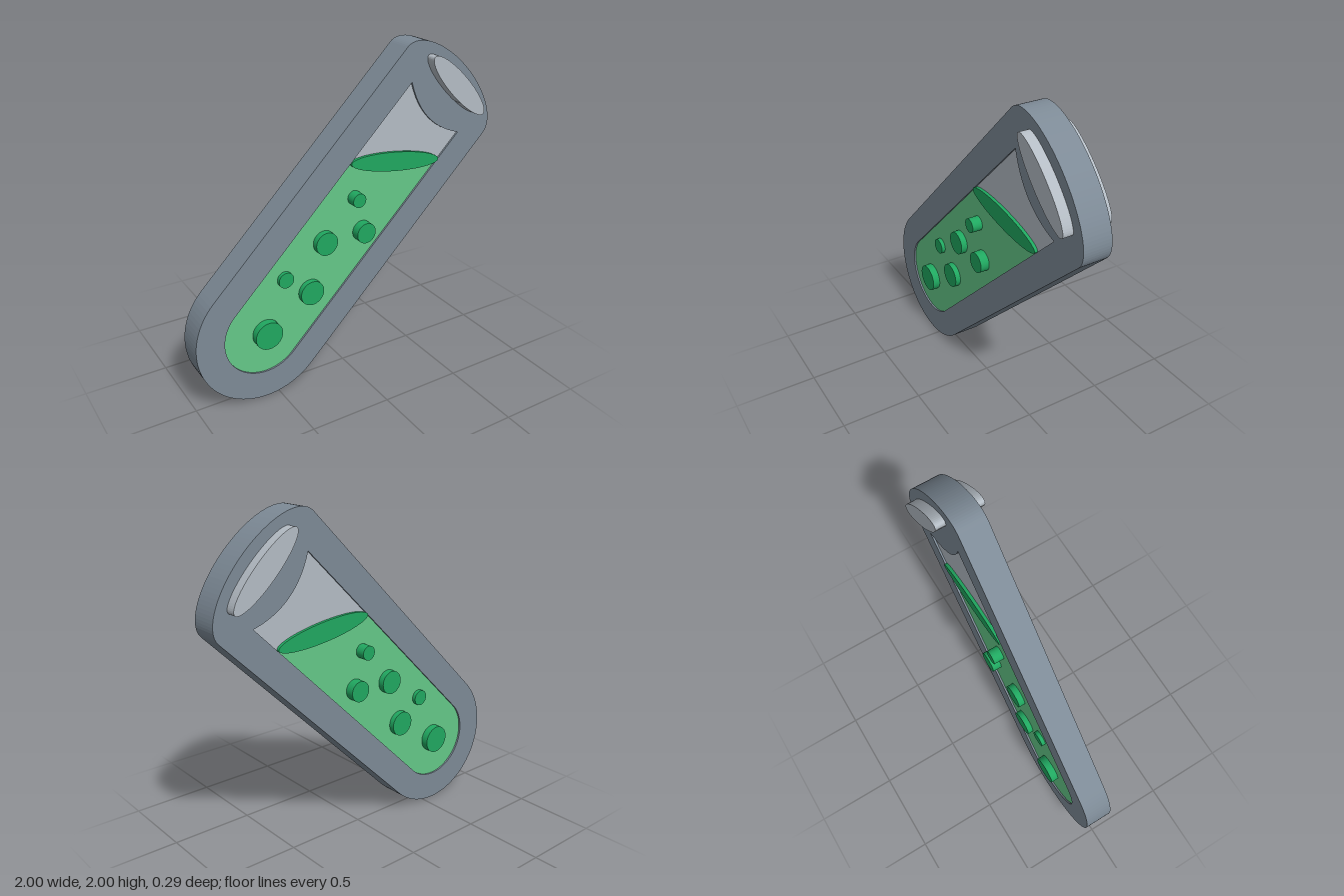
import * as THREE from 'three';

const GLASS = 0x7d8a96, PALE = 0xb4bcc4, LIQUID = 0x64c888, DARK = 0x20a860;

// Flat plate of a shape, centred on z = 0
function plate(name, shape, halfDepth, color, segments = 24) {
  const geometry = new THREE.ExtrudeGeometry(shape, {
    depth: 2 * halfDepth, bevelEnabled: false, curveSegments: segments,
  });
  geometry.translate(0, 0, -halfDepth);
  const mesh = new THREE.Mesh(geometry, new THREE.MeshStandardMaterial({ color }));
  mesh.name = name;
  return mesh;
}

function ellipse(x, y, rx, ry, angle = 0) {
  return new THREE.Shape().absellipse(x, y, rx, ry, 0, 2 * Math.PI, false, angle);
}

// Hollow of the tube: round bottom, straight walls, sagging top edge
const R = 0.424, r = 0.252, TOP = 1.648;
function hollow(shape) {
  shape.moveTo(-r, TOP);
  shape.lineTo(-r, 0);
  shape.absarc(0, 0, r, Math.PI, 2 * Math.PI, false);
  shape.lineTo(r, TOP);
  shape.quadraticCurveTo(0, TOP - 0.14, -r, TOP);
  return shape;
}

export function createModel() {
  const model = new THREE.Group();
  model.name = 'testTube';

  // Tube, glass and liquid are drawn upright and leaned over 45 degrees
  const tube = new THREE.Group();
  tube.name = 'leaningTube';
  tube.position.set(-0.576, 0.424, 0);
  tube.rotation.z = -Math.PI / 4;
  model.add(tube);

  // Thick outline with a domed elliptical rim
  const outline = new THREE.Shape();
  outline.moveTo(-R, 1.764);
  outline.lineTo(-R, 0);
  outline.absarc(0, 0, R, Math.PI, 2 * Math.PI, false);
  outline.lineTo(R, 1.764);
  outline.absellipse(0, 1.764, R, 0.19, 0, Math.PI, false, 0);
  outline.holes.push(hollow(new THREE.Path()));
  tube.add(plate('tubeWall', outline, 0.085, GLASS));

  // Liquid fills the round bottom up to a slanted level
  const leftLevel = 1.075, rightLevel = 1.45;
  const liquid = new THREE.Shape();
  liquid.moveTo(-r, leftLevel);
  liquid.lineTo(-r, 0);
  liquid.absarc(0, 0, r, Math.PI, 2 * Math.PI, false);
  liquid.lineTo(r, rightLevel);
  tube.add(plate('liquid', liquid, 0.074, LIQUID));

  // Empty glass above the liquid
  const empty = new THREE.Shape();
  empty.moveTo(-r, leftLevel);
  empty.lineTo(r, rightLevel);
  empty.lineTo(r, TOP);
  empty.quadraticCurveTo(0, TOP - 0.14, -r, TOP);
  tube.add(plate('emptyGlass', empty, 0.074, PALE));

  // Mouth of the tube
  tube.add(plate('mouth', ellipse(0, 1.824, 0.275, 0.066), 0.145, PALE, 32));

  // Surface of the liquid
  model.add(plate('liquidSurface', ellipse(0.312, 1.313, 0.312, 0.058, -0.14), 0.093, DARK, 48));

  // Bubbles: x, y, radius, half depth
  const bubbles = [
    [-0.565, 0.428, 0.086, 0.12], [-0.27, 0.615, 0.076, 0.108],
    [-0.433, 0.742, 0.048, 0.098], [-0.172, 0.91, 0.071, 0.113],
    [0.087, 0.92, 0.063, 0.129], [0.032, 1.143, 0.043, 0.137],
  ];
  for (const [x, y, radius, halfDepth] of bubbles) {
    model.add(plate('bubble', ellipse(x, y, radius, radius), halfDepth, DARK, 32));
  }
  return model;
}
